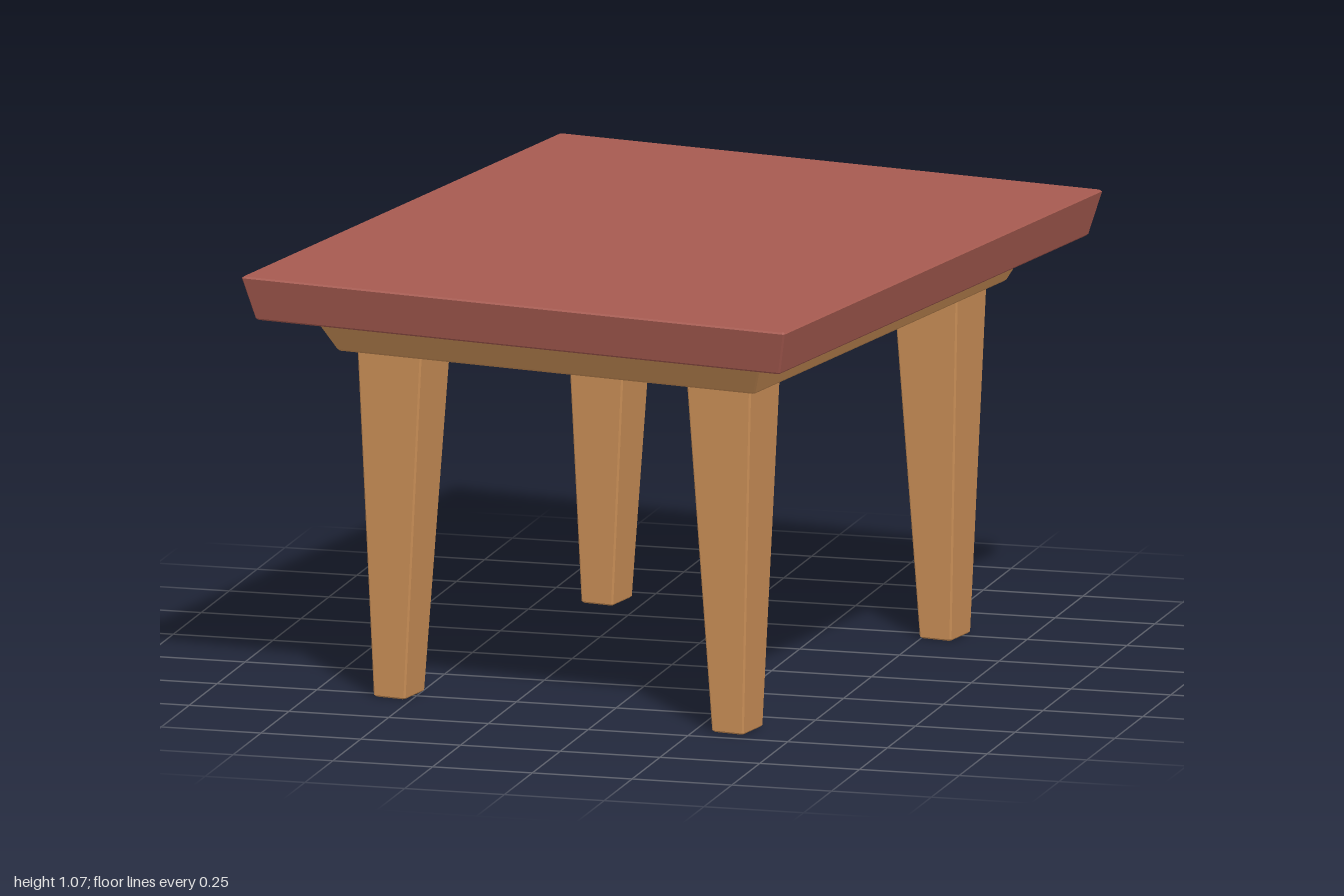
import * as THREE from 'three';

const BEVEL = 0.004;

// Rectangle outline with clipped corners, as eight points at height y
function outline(w, d, y, cx, cz) {
  const a = w / 2, b = d / 2, c = BEVEL;
  return [
    [a, b - c], [a, -b + c], [a - c, -b], [-a + c, -b],
    [-a, -b + c], [-a, b - c], [-a + c, b], [a - c, b],
  ].map(([x, z]) => [x + cx, y, z + cz]);
}

// Tapered block with finely bevelled edges; each end is { y, w, d, x, z }
function taperedBlock(bottom, top) {
  const ring = (e, inset, dy) =>
    outline(e.w - 2 * inset, e.d - 2 * inset, e.y + dy, e.x || 0, e.z || 0);
  const rings = [
    ring(bottom, BEVEL, 0), ring(bottom, 0, BEVEL),
    ring(top, 0, -BEVEL), ring(top, BEVEL, 0),
  ];
  const pos = [];
  const tri = (a, b, c) => pos.push(...a, ...b, ...c);
  for (let r = 0; r < 3; r++) {
    for (let i = 0; i < 8; i++) {
      const j = (i + 1) % 8;
      const a = rings[r][i], b = rings[r][j], c = rings[r + 1][j], d = rings[r + 1][i];
      tri(a, b, c);
      tri(a, c, d);
    }
  }
  for (let i = 1; i < 7; i++) {
    tri(rings[3][0], rings[3][i], rings[3][i + 1]);
    tri(rings[0][0], rings[0][i + 1], rings[0][i]);
  }
  const geo = new THREE.BufferGeometry();
  geo.setAttribute('position', new THREE.Float32BufferAttribute(pos, 3));
  geo.computeVertexNormals();
  return geo;
}

export function createModel() {
  const redPaint = new THREE.MeshStandardMaterial({ color: 0xa65a50 });
  redPaint.name = 'red top';
  const wood = new THREE.MeshStandardMaterial({ color: 0xc98e56 });
  wood.name = 'light wood';

  const table = new THREE.Group();
  table.name = 'table';
  const add = (name, geo, mat) => {
    const mesh = new THREE.Mesh(geo, mat);
    mesh.name = name;
    table.add(mesh);
  };

  // Slab, slightly narrower underneath
  add('tableTop', taperedBlock(
    { y: 0.957, w: 1.405, d: 1.722 },
    { y: 1.067, w: 1.454, d: 1.774 }), redPaint);

  // Sloping support below the slab
  add('apron', taperedBlock(
    { y: 0.863, w: 1.12, d: 1.406 },
    { y: 0.959, w: 1.2, d: 1.51 }), wood);

  // Four tapered, slightly splayed legs
  for (const [sx, side] of [[1, 'Left'], [-1, 'Right']]) {
    for (const [sz, end] of [[1, 'front'], [-1, 'back']]) {
      add(`${end}${side}Leg`, taperedBlock(
        { y: 0, w: 0.085, d: 0.111, x: sx * 0.453, z: sz * 0.578 },
        { y: 0.87, w: 0.172, d: 0.167, x: sx * 0.441, z: sz * 0.575 }), wood);
    }
  }

  // The table stands turned by ten degrees
  table.rotation.y = -THREE.MathUtils.degToRad(10.05);
  const model = new THREE.Group();
  model.name = 'model';
  model.add(table);
  return model;
}
